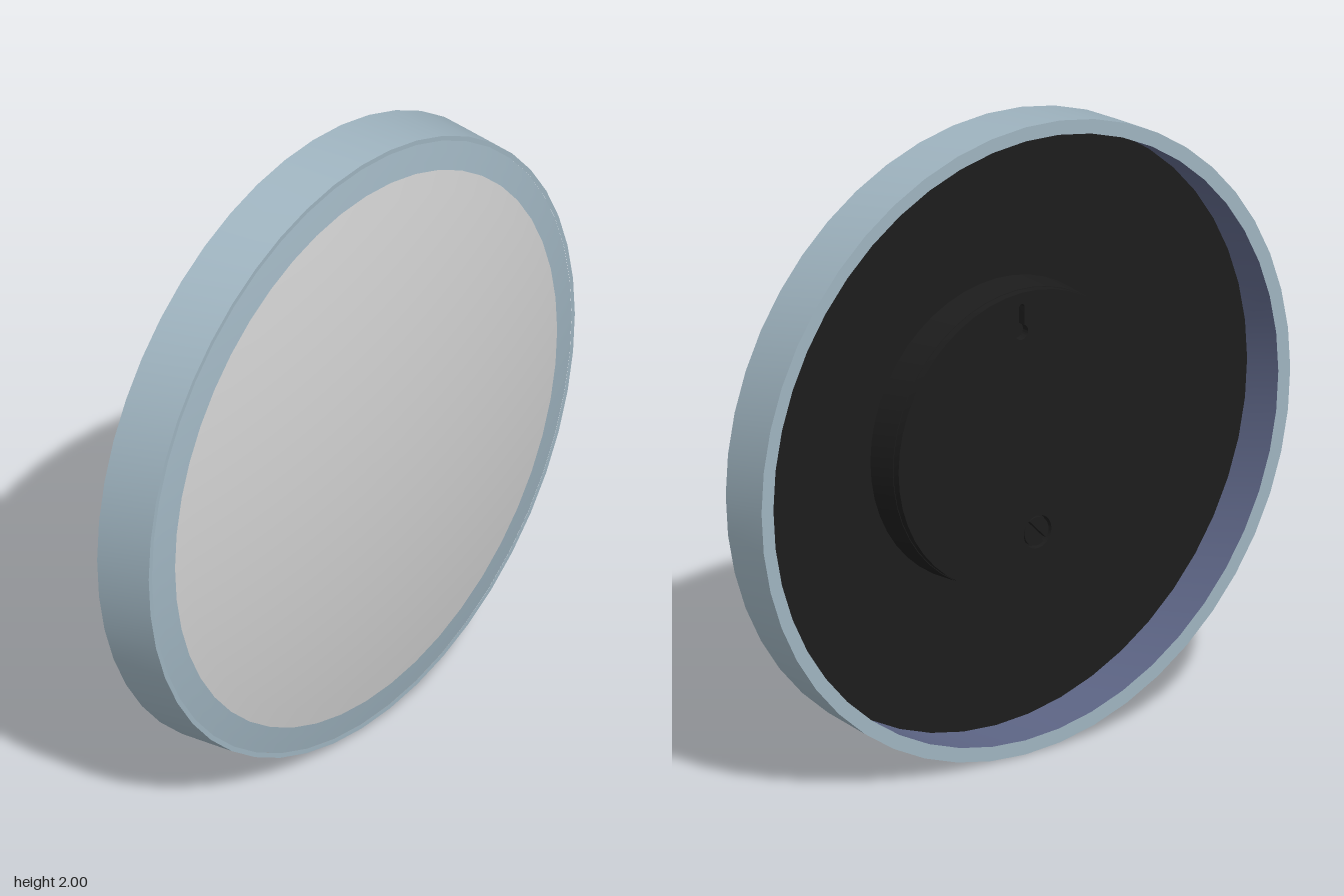
import * as THREE from 'three';
import { toCreasedNormals } from 'three/addons/utils/BufferGeometryUtils.js';

const SEGMENTS = 48;

function material(name, color) {
  const m = new THREE.MeshStandardMaterial({ color });
  m.name = name;
  return m;
}

export function createModel() {
  const frameBlue = material('frame blue grey', 0x9fb4c0);
  const innerBlue = material('inner wall blue', 0x5c6484);
  const faceGrey = material('domed face grey', 0xd0d0d0);
  const black = material('back black', 0x1c1c1c);

  const group = new THREE.Group();
  group.name = 'roundWallDisc';
  const disc = new THREE.Group();
  disc.name = 'disc';
  disc.position.y = 1;
  group.add(disc);

  const add = (name, geometry, mat) => {
    const mesh = new THREE.Mesh(geometry, mat);
    mesh.name = name;
    disc.add(mesh);
    return mesh;
  };

  // Revolve [radius, z] points around the z axis, with hard corners kept sharp
  const revolve = (name, points, mat) => {
    const g = new THREE.LatheGeometry(points.map(([r, z]) => new THREE.Vector2(r, z)), SEGMENTS);
    g.rotateX(Math.PI / 2);
    return add(name, toCreasedNormals(g, 0.5), mat);
  };

  // Shallow spherical front: z at a given radius
  const R = 4.75;
  const domeZ = r => 0.145 - R + Math.sqrt(R * R - r * r);
  const arc = (r0, r1, n) => Array.from({ length: n + 1 }, (_, i) => {
    const r = r0 + (r1 - r0) * i / n;
    return [r, domeZ(r)];
  });

  // Frame, its front border and the inside of the rim
  revolve('frame', [[0.955, -0.145], [1, -0.145], [0.987, 0.045], [0.972, 0.045]], frameBlue);
  revolve('frontBorder', arc(0.972, 0.885, 3), frameBlue);
  revolve('innerWall', [[0.95, 0], [0.955, -0.145]], innerBlue);
  revolve('domedFace', arc(0.885, 0, 14), faceGrey);

  // Recessed back with a raised hub
  revolve('backPlate', [[0, 0], [0.95, 0]], black);
  revolve('hubBase', [[0, -0.1], [0.468, -0.1], [0.475, 0]], black);

  // Hub cover with a keyhole hanger and a screw hole
  const cover = new THREE.Shape().absarc(0, 0, 0.466, 0, Math.PI * 2, false);
  const keyhole = new THREE.Path();
  keyhole.moveTo(0.01, 0.36);
  keyhole.lineTo(0.01, 0.42);
  keyhole.absarc(0, 0.42, 0.01, 0, Math.PI, false);
  keyhole.lineTo(-0.01, 0.36);
  keyhole.absarc(0, 0.34, 0.024, Math.PI * 0.64, Math.PI * 2.36, false);
  const screwHole = new THREE.Path().absarc(-0.06, -0.31, 0.052, 0, Math.PI * 2, true);
  cover.holes.push(keyhole, screwHole);
  const coverGeometry = new THREE.ExtrudeGeometry(cover, {
    depth: 0.025, bevelEnabled: false, curveSegments: SEGMENTS / 2,
  });
  coverGeometry.translate(0, 0, -0.125);
  add('hubCover', toCreasedNormals(coverGeometry, 0.5), black);

  // Slotted screw: two half discs with a gap between them
  const screw = new THREE.Group();
  screw.name = 'screw';
  screw.position.set(-0.06, -0.31, -0.12);
  screw.rotation.z = 0.8;
  for (const side of [0, Math.PI]) {
    const half = new THREE.Shape().absarc(0, 0, 0.045, 0.15, Math.PI - 0.15, false);
    const g = new THREE.ExtrudeGeometry(half, { depth: 0.02, bevelEnabled: false, curveSegments: 12 });
    const mesh = new THREE.Mesh(g, black);
    mesh.name = 'screwHalf';
    mesh.rotation.z = side;
    screw.add(mesh);
  }
  disc.add(screw);

  return group;
}
